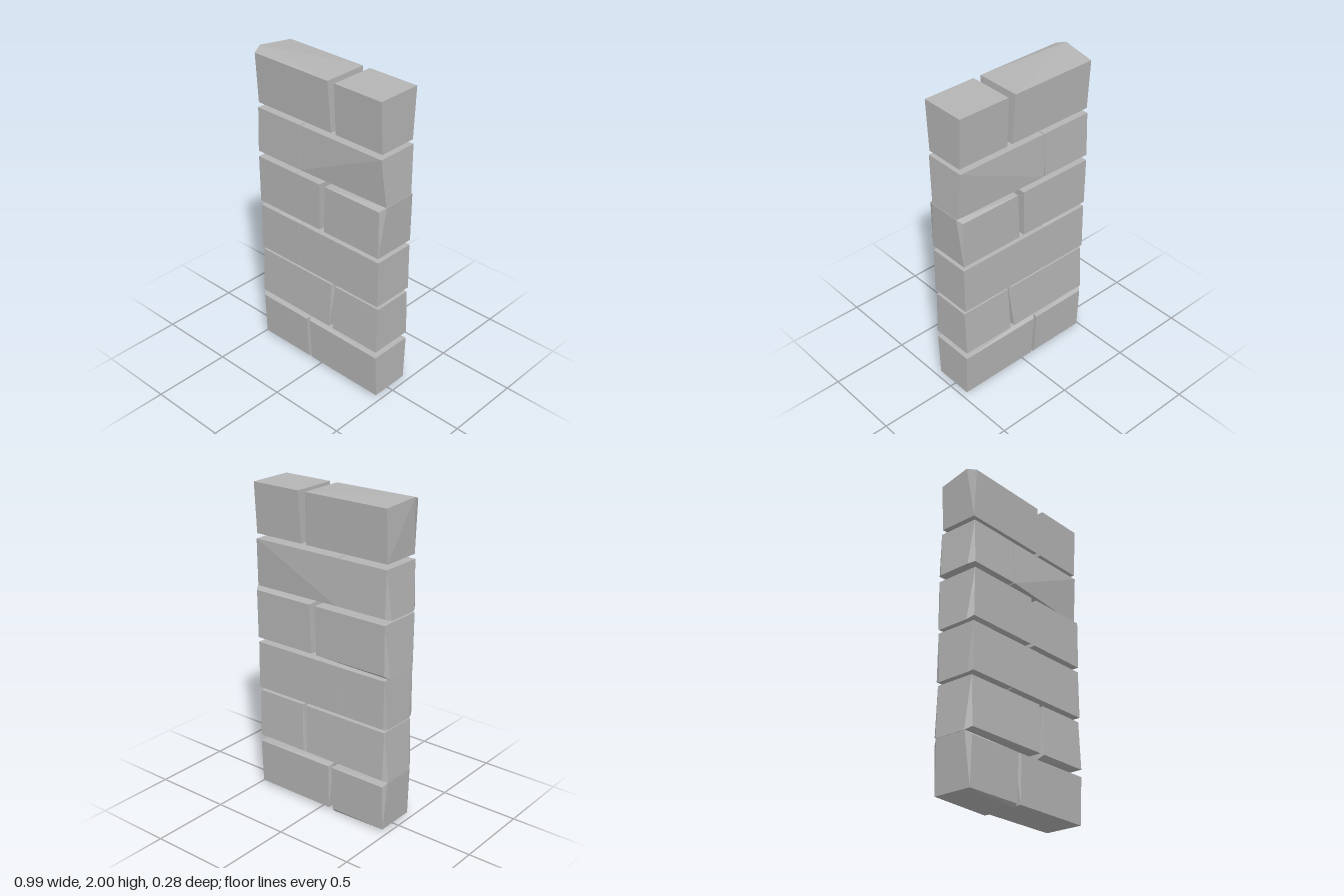
import * as THREE from 'three';
import { ConvexGeometry } from 'three/addons/geometries/ConvexGeometry.js';

const END = 0.474; // both ends of the wall
const RIDGE = [0.1, -0.11]; // usual front and back of a worn edge

// Courses from the ground up. y: bottom, top. depth: half depth at bottom, top.
// joint: x of the joint's two sides, each at bottom and top.
// ridgesA, ridgesB: [x, y] of worn edges sticking out of the -x and +x brick.
const COURSES = [
  { y: [0.022, 0.312], depth: [0.126, 0.138], joint: [-0.095, -0.095, -0.065, -0.07],
    ridgesA: [[-0.095, 0], [-0.495, 0.34]], ridgesB: [[-0.09, 0.33]] },
  { y: [0.357, 0.66], depth: [0.14, 0.127], joint: [0.095, 0.105, 0.125, 0.135],
    ridgesA: [[-0.498, 0.338], [0.117, 0.66]], ridgesB: [[0.115, 0.335]] },
  { y: [0.685, 0.985], depth: [0.138, 0.135], joint: [-0.147, -0.147, -0.145, -0.145],
    ridgesA: [[-0.485, 0.675], [-0.14, 0.99]], ridgesB: [[-0.14, 0.672]] },
  { y: [1.016, 1.32], depth: [0.138, 0.141], joint: [0.02, 0.025, 0.055, 0.068],
    ridgesA: [[-0.497, 0.992]], ridgesB: [[0.495, 1.34]] },
  // the lower +x corner of this course is worn away on both faces
  { y: [1.357, 1.637], depth: [0.141, 0.132], joint: [-0.137, -0.135, -0.13, -0.13],
    ridgesA: [[-0.497, 1.345]], ridgesB: [[0.492, 1.338]], wornCorner: true },
  // the top brick rises to a single point
  { y: [1.667, 1.978], depth: [0.125, 0.142], joint: [0.1, 0.09, 0.135, 0.14],
    ridgesA: [[-0.497, 2]], ridgesB: [], ridgeZ: [0.08] },
];

// Faceted hull around a tapered block and its worn edges
function makeBrick(name, corners, ridges, ridgeZ, material) {
  const points = [];
  for (const [x, y, d] of corners) {
    for (const side of [1, -1]) points.push(new THREE.Vector3(x, y, side * d - 0.001));
  }
  for (const [x, y] of ridges) {
    for (const z of ridgeZ) points.push(new THREE.Vector3(x, y, z));
  }
  const brick = new THREE.Mesh(new ConvexGeometry(points), material);
  brick.name = name;
  return brick;
}

export function createModel() {
  const wall = new THREE.Group();
  wall.name = 'brickWall';
  const stone = new THREE.MeshStandardMaterial({ color: 0xb4b4b4 });
  stone.name = 'grey stone';

  // Two loose bricks per course, with an open joint between them
  COURSES.forEach(({ y, depth, joint, ridgesA, ridgesB, wornCorner, ridgeZ = RIDGE }, i) => {
    const bottom = (x) => [x, y[0], depth[0]];
    const top = (x) => [x, y[1], depth[1]];
    const rightBrick = [bottom(-END), bottom(joint[0]), top(joint[1]), top(-END)];
    const leftBrick = [bottom(joint[2]), top(joint[3]), top(END)];
    if (!wornCorner) leftBrick.push(bottom(END));
    wall.add(
      makeBrick(`rightBrickCourse${i + 1}`, rightBrick, ridgesA, ridgeZ, stone),
      makeBrick(`leftBrickCourse${i + 1}`, leftBrick, ridgesB, ridgeZ, stone),
    );
  });
  return wall;
}
